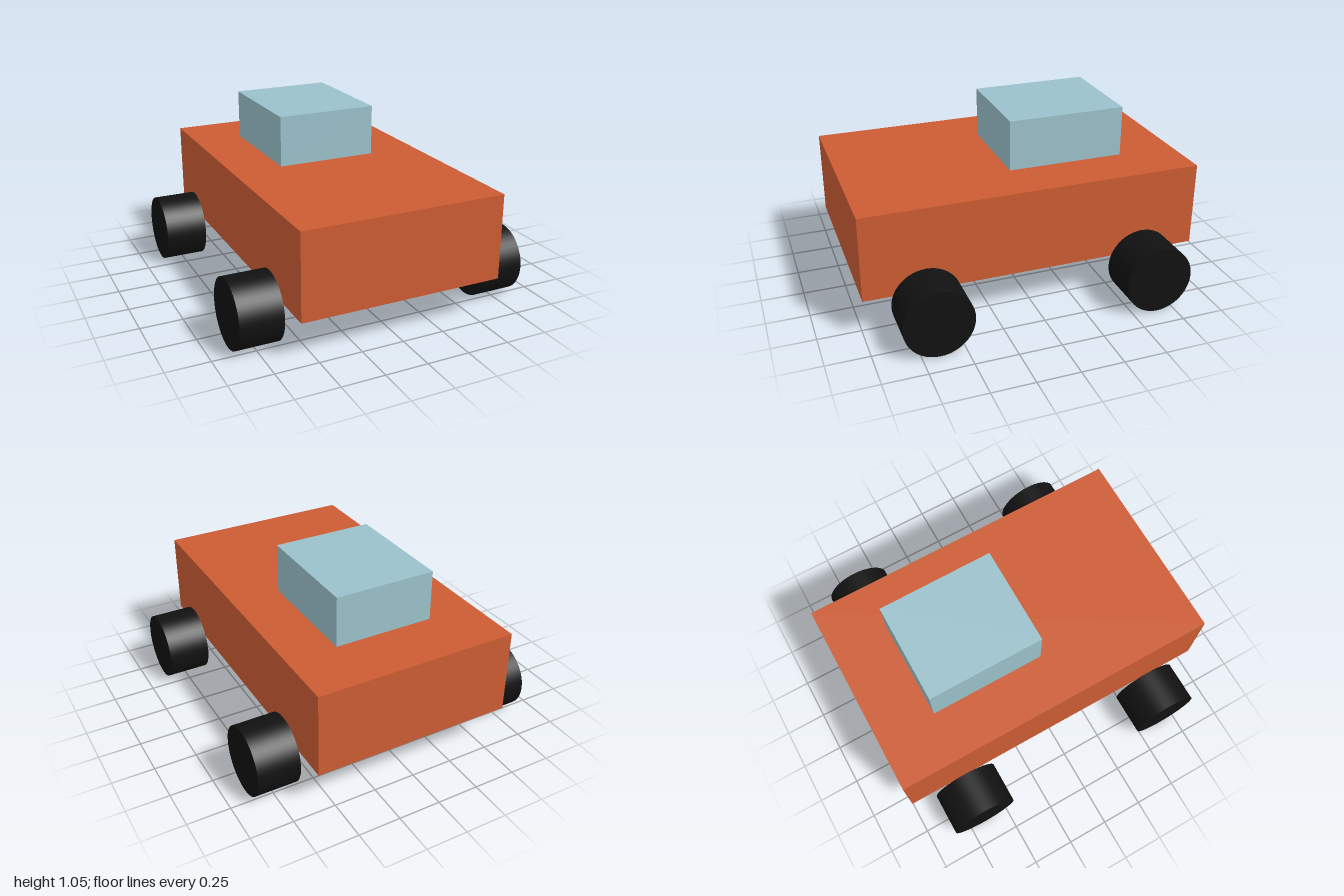
import * as THREE from 'three';

function material(name, color) {
  const m = new THREE.MeshStandardMaterial({ color });
  m.name = name;
  return m;
}

export function createModel() {
  const car = new THREE.Group();
  car.name = 'car';
  const orange = material('burnt orange paint', 0xcc5c33);
  const blue = material('pale blue glass', 0x9bc1cb);
  const black = material('black rubber', 0x111111);

  const add = (name, geometry, mat, x, y, z) => {
    const mesh = new THREE.Mesh(geometry, mat);
    mesh.name = name;
    mesh.position.set(x, y, z);
    car.add(mesh);
  };

  // Body and cabin, the cabin set towards the back
  add('body', new THREE.BoxGeometry(1.2, 0.5, 2), orange, 0, 0.5, 0);
  add('cabin', new THREE.BoxGeometry(0.6, 0.3, 0.7), blue, 0, 0.9, -0.3);

  // Four wheels with their axes along x, standing just clear of the body
  const wheel = new THREE.CylinderGeometry(0.2, 0.2, 0.25, 48).rotateZ(Math.PI / 2);
  for (const [end, z] of [['front', 0.65], ['back', -0.65]]) {
    for (const [side, x] of [['Left', 0.75], ['Right', -0.75]]) {
      add(`${end}${side}Wheel`, wheel, black, x, 0.2, z);
    }
  }
  return car;
}
